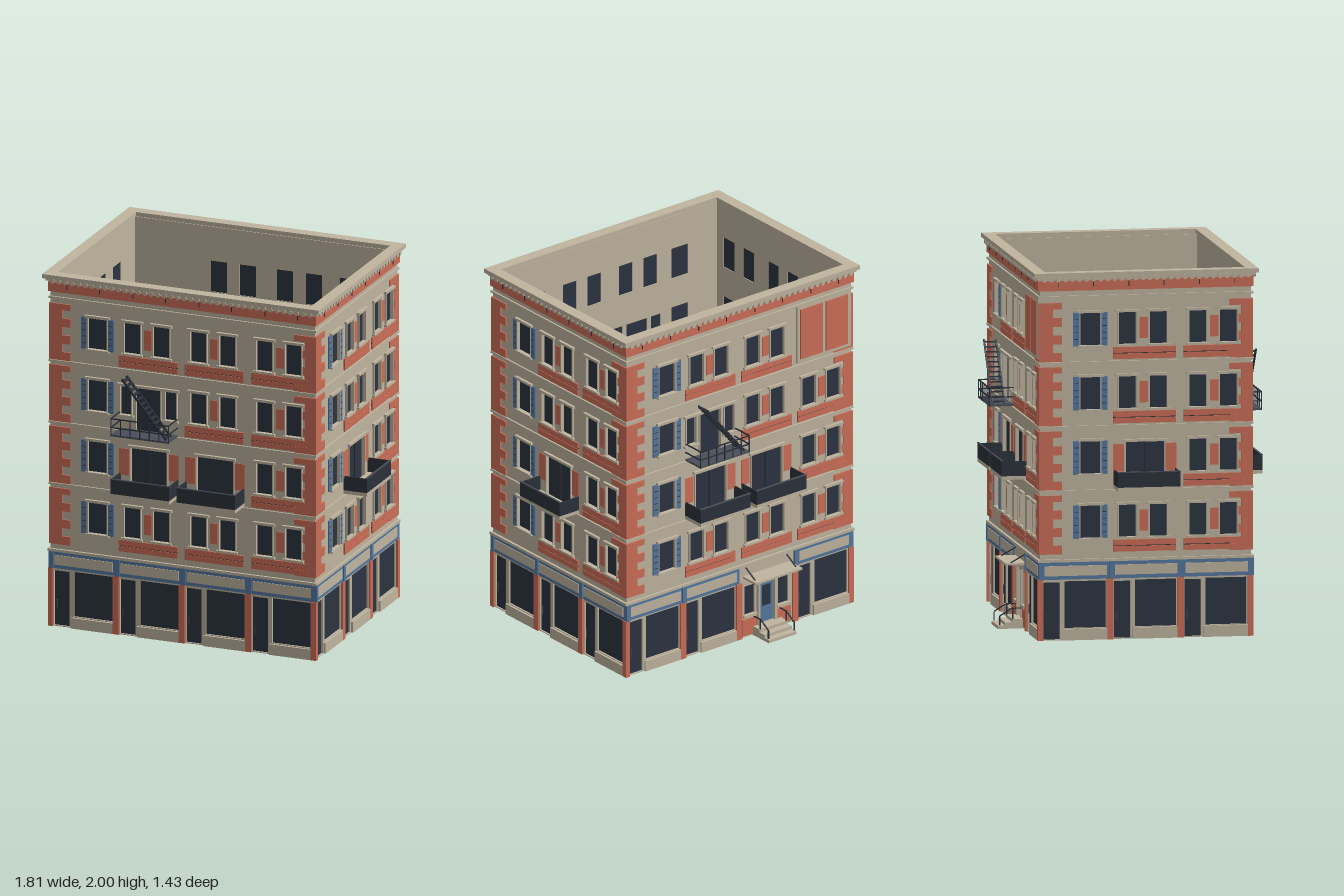
import * as THREE from 'three';
import { mergeGeometries } from 'three/addons/utils/BufferGeometryUtils.js';

const mat = (name, color) => Object.assign(new THREE.MeshStandardMaterial({ color }), { name });
const stone = mat('stone', 0xbfb49f), brick = mat('brick', 0xcb6e57), glass = mat('dark glass', 0x2c3441);
const blue = mat('blue paint', 0x54789f), iron = mat('dark iron', 0x2b303a), grate = mat('grey grating', 0x4a4e59);

const BAY = 0.385, W = 0.77, D = 0.5775, FLOOR0 = 0.46, STOREY = 0.349;

// Collects pieces of a named part and merges them into one mesh each
class Parts {
  constructor(name) { this.group = new THREE.Group(); this.group.name = name; this.map = new Map(); }
  add(name, material, geo) {
    if (!this.map.has(name)) this.map.set(name, { material, list: [] });
    this.map.get(name).list.push(geo);
  }
  box(name, material, u0, u1, v0, v1, w0, w1) {
    const g = new THREE.BoxGeometry(u1 - u0, v1 - v0, w1 - w0);
    this.add(name, material, g.translate((u0 + u1) / 2, (v0 + v1) / 2, (w0 + w1) / 2));
  }
  bar(name, material, a, b, r = 0.003) {
    const p = new THREE.Vector3(...a), d = new THREE.Vector3(...b).sub(p), len = d.length();
    const g = new THREE.BoxGeometry(2 * r, len, 2 * r).translate(0, len / 2, 0);
    g.applyQuaternion(new THREE.Quaternion().setFromUnitVectors(new THREE.Vector3(0, 1, 0), d.normalize()));
    this.add(name, material, g.translate(p.x, p.y, p.z));
  }
  finish() {
    for (const [name, { material, list }] of this.map) {
      const m = new THREE.Mesh(mergeGeometries(list), material);
      m.name = name;
      this.group.add(m);
    }
    return this.group;
  }
}

const rectPath = (P, x0, x1, y0, y1) =>
  new P([[x0, y0], [x1, y0], [x1, y1], [x0, y1]].map(p => new THREE.Vector2(...p)));

// Rectangular band running all round the building
function ring(name, material, out, inset, y0, y1) {
  const s = rectPath(THREE.Shape, -W - out, W + out, -D - out, D + out);
  s.holes.push(rectPath(THREE.Path, -W + inset, W - inset, -D + inset, D - inset));
  const g = new THREE.ExtrudeGeometry(s, { depth: y1 - y0, bevelEnabled: false }).rotateX(-Math.PI / 2);
  const m = new THREE.Mesh(g.translate(0, y0, 0), material);
  m.name = name;
  return m;
}

// One facade in local space: u to the right, v up, w outward
function facade(name, bays, { escape = false, balconies = [], entrance = -1 }) {
  const P = new Parts(name), half = bays * BAY / 2;
  const wall = rectPath(THREE.Shape, -half, half, 0, 1.97);

  const opening = (u0, u1, v0, v1) => {
    wall.holes.push(rectPath(THREE.Path, u0, u1, v0, v1));
    P.box('windowGlass', glass, u0 - 0.002, u1 + 0.002, v0 - 0.002, v1 + 0.002, -0.016, -0.010);
  };
  const window = (u0, u1, v0, v1, sill = true) => {
    opening(u0, u1, v0, v1);
    P.box('windowLintel', stone, u0 - 0.016, u1 + 0.016, v1, v1 + 0.014, 0, 0.016);
    for (const [a, b] of [[u0 - 0.006, u0], [u1, u1 + 0.006]]) P.box('windowFrame', stone, a, b, v0, v1, -0.01, 0.010);
    if (sill) P.box('windowSill', stone, u0 - 0.014, u1 + 0.014, v0 - 0.012, v0, 0, 0.016);
  };

  for (let i = 0; i < bays; i++) {
    const b = -half + i * BAY;

    // Ground floor shop front or entrance
    if (i === entrance) {
      entry(P, b, opening);
    } else {
      opening(b + 0.02, b + 0.11, 0.005, 0.315);
      P.bar('doorHandle', grate, [b + 0.035, 0.1, -0.004], [b + 0.035, 0.15, -0.004], 0.002);
      opening(b + 0.135, b + 0.36, 0.065, 0.32);
      P.box('shopSill', stone, b + 0.122, b + 0.366, 0, 0.06, 0, 0.012);
      P.box('signBand', blue, b, b + BAY, 0.33, 0.425, 0, 0.006);
      P.box('signPanel', stone, b + 0.024, b + BAY - 0.02, 0.35, 0.405, 0.006, 0.010);
      P.box('signPost', blue, b - 0.008, b + 0.018, 0.33, 0.425, 0, 0.014);
    }

    // Upper storeys
    for (let f = 0; f < 4; f++) {
      const y = FLOOR0 + f * STOREY;
      if (i === 0) {
        window(b + 0.22, b + 0.33, y + 0.093, y + 0.27);
        for (const u of [0.18, 0.333]) {
          P.box('shutter', blue, b + u, b + u + 0.036, y + 0.09, y + 0.272, 0, 0.008);
          for (let k = 1; k < 5; k++)
            P.box('shutterSlat', iron, b + u + 0.007, b + u + 0.029, y + 0.09 + k * 0.036, y + 0.093 + k * 0.036, 0.008, 0.010);
        }
      } else if (f === 1 && balconies.includes(i)) {
        window(b + 0.085, b + 0.295, y + 0.02, y + 0.262, false);
        for (const u of [0.015, 0.302]) P.box('brickPanel', brick, b + u, b + u + 0.058, y + 0.1, y + 0.25, 0, 0.004);
        P.box('windowMullion', iron, b + 0.187, b + 0.193, y + 0.02, y + 0.26, -0.012, -0.004);
        balcony(P, b, 0.82);
      } else if (f === 2 && escape && i === 1) {
        window(b + 0.115, b + 0.255, y + 0.012, y + 0.258, false);
        window(b + 0.022, b + 0.088, y + 0.095, y + 0.258);
        window(b + 0.284, b + 0.35, y + 0.095, y + 0.258);
        fireEscape(P, b, 1.165);
      } else if (f === 3 && i === entrance + 1 && entrance > 0) {
        // Framed brick hoarding
        P.box('hoardingFrame', stone, b + 0.01, b + BAY - 0.005, y + 0.02, 1.86, 0, 0.010);
        for (const u of [0.03, 0.205]) P.box('hoardingPanel', brick, b + u, b + u + 0.15, y + 0.04, 1.84, 0.010, 0.016);
      } else {
        window(b + 0.045, b + 0.14, y + 0.095, y + 0.27);
        window(b + 0.214, b + 0.308, y + 0.095, y + 0.27);
        P.box('brickPanel', brick, b + 0.16, b + 0.217 - 0.012, y + 0.125, y + 0.24, 0, 0.004);
        P.box('brickApron', brick, b + 0.015, b + 0.357, y + 0.015, y + 0.045, 0, 0.010);
        P.box('brickApron', brick, b + 0.015, b + 0.357, y + 0.049, y + 0.08, 0, 0.010);
        P.box('apronGroove', iron, b + 0.015, b + 0.357, y + 0.045, y + 0.049, 0, 0.006);
      }
    }
    // Frieze dividers
    for (const u of [0.1, 0.29]) P.box('friezeDivider', iron, b + u - 0.002, b + u + 0.002, 1.92, 1.957, 0.01, 0.016);
  }

  // Brick piers between the shop fronts
  for (let i = 0; i <= bays; i++) {
    const u = -half + i * BAY;
    P.box('brickPier', brick, Math.max(u - 0.02, -half - 0.012), Math.min(u + 0.016, half + 0.012), 0, 0.33, 0, 0.012);
  }

  // Corner quoins of alternating length
  for (let f = 0; f < 4; f++) for (let j = 0; j < 7; j++) {
    const y = FLOOR0 + f * STOREY + 0.008 + j * 0.0476, clear = j < 1 || j > 5;
    const top = y + 0.0476 - (j === 6 ? 0.014 : 0);
    P.box('quoin', brick, -half - 0.008, -half + (j % 2 ? 0.07 : 0.118), y, top, 0, 0.008);
    P.box('quoin', brick, half - (clear ? 0.118 : j % 2 ? 0.055 : 0.07), half + 0.008, y, top, 0, 0.008);
  }

  // Scalloped dentils below the cornice
  const n = bays * 10;
  for (let k = 0; k < n; k++) {
    const g = new THREE.CylinderGeometry(0.013, 0.013, 0.02, 8).rotateX(Math.PI / 2);
    P.add('dentil', stone, g.translate(-half + (k + 0.5) * BAY / 10, 1.962, 0.018));
  }

  P.add('wall', stone, new THREE.ExtrudeGeometry(wall, { depth: 0.02, bevelEnabled: false }).translate(0, 0, -0.02));
  return P.finish();
}

// Balcony: stone slab with solid dark parapet
function balcony(P, b, y) {
  const u0 = b + 0.018, u1 = b + 0.36, w = 0.135;
  P.box('balconySlab', stone, u0, u1, y, y + 0.02, 0, w);
  P.box('balconyFront', iron, u0, u1, y + 0.02, y + 0.1, w - 0.006, w);
  for (const u of [u0, u1 - 0.006]) P.box('balconySide', iron, u, u + 0.006, y + 0.02, y + 0.1, 0, w - 0.006);
  P.box('balconyRail', grate, u0 - 0.002, u1 + 0.002, y + 0.1, y + 0.105, w - 0.008, w + 0.002);
}

// Fire escape: grated platform, railing and steep stair
function fireEscape(P, b, y) {
  const u0 = b + 0.02, u1 = b + 0.355, w = 0.13;
  P.box('escapePlatform', grate, u0, u1, y, y + 0.01, 0, w);
  for (const h of [0.05, 0.1]) {
    P.bar('escapeRailing', iron, [u0, y + h, w], [u1, y + h, w]);
    for (const u of [u0, u1]) P.bar('escapeRailing', iron, [u, y + h, 0], [u, y + h, w]);
  }
  for (let k = 0; k <= 6; k++) {
    const u = u0 + (u1 - u0) * k / 6;
    P.bar('escapeRailing', iron, [u, y, w], [u, y + 0.1, w], 0.0025);
  }
  for (const s of [0.045, 0.11]) P.bar('escapeStringer', iron, [b + 0.335, y + 0.01, s], [b + 0.075, y + 0.325, s], 0.005);
  for (let k = 0; k < 13; k++) {
    const t = (k + 0.5) / 13, u = b + 0.335 - 0.26 * t, v = y + 0.01 + 0.315 * t;
    P.box('escapeTread', iron, u - 0.01, u + 0.01, v - 0.003, v + 0.003, 0.045, 0.11);
  }
}

// Entrance: blue door, side windows, steps, handrails and canopy
function entry(P, b, opening) {
  const c = b + 0.19;
  opening(c - 0.05, c + 0.05, 0.055, 0.3);
  P.box('entranceDoor', blue, c - 0.045, c + 0.045, 0.055, 0.29, -0.010, -0.004);
  P.box('entranceDoorPane', glass, c - 0.028, c + 0.028, 0.15, 0.27, -0.004, -0.001);
  for (const s of [-1, 1]) {
    const m = c + s * 0.115;
    opening(m - 0.035, m + 0.035, 0.13, 0.3);
    P.box('entranceSill', stone, m - 0.045, m + 0.045, 0.115, 0.13, 0, 0.014);
    P.box('entranceBrick', brick, m - 0.05, m + 0.05, 0.01, 0.105, 0, 0.006);
    P.box('entranceJamb', stone, c + s * 0.058 - 0.008, c + s * 0.058 + 0.008, 0.05, 0.315, 0, 0.014);
    const r = c + s * 0.088;
    P.bar('handrail', iron, [r, 0.11, 0], [r, 0.11, 0.065]);
    P.bar('handrail', iron, [r, 0.11, 0.065], [r, 0.07, 0.13]);
    P.bar('handrail', iron, [r, 0.02, 0.13], [r, 0.07, 0.13]);
    P.bar('handrail', iron, [r, 0.05, 0.06], [r, 0.11, 0.06]);
    P.bar('canopyStay', iron, [c + s * 0.14, 0.41, 0], [c + s * 0.14, 0.365, 0.08]);
  }
  [[0.018, 0.142], [0.035, 0.103], [0.052, 0.063]].forEach(([h, w]) =>
    P.box('entranceStep', stone, c - 0.095, c + 0.095, 0, h, 0, w));
  P.box('canopy', stone, c - 0.16, c + 0.16, 0.352, 0.364, 0, 0.112);
}

export function createModel() {
  const model = new THREE.Group();
  model.name = 'apartmentBuilding';
  const place = (g, x, z, turn) => {
    g.position.set(x, 0, z);
    g.rotation.y = turn;
    model.add(g);
  };
  place(facade('frontFacade', 4, { escape: true, balconies: [1, 2] }), 0, D, 0);
  place(facade('backFacade', 4, { escape: true, balconies: [1, 2], entrance: 2 }), 0, -D, Math.PI);
  place(facade('leftFacade', 3, { balconies: [1] }), W, 0, Math.PI / 2);
  place(facade('rightFacade', 3, { balconies: [1] }), -W, 0, -Math.PI / 2);

  // Horizontal bands and cornice
  model.add(ring('shopLedge', stone, 0.014, 0.01, 0.425, 0.44));
  for (let f = 1; f < 4; f++) model.add(ring('stringCourse', stone, 0.01, 0.01, FLOOR0 + f * STOREY - 0.006, FLOOR0 + f * STOREY + 0.006));
  model.add(ring('upperCourse', stone, 0.01, 0.01, 1.86, 1.872));
  model.add(ring('brickFrieze', brick, 0.012, 0.01, 1.9, 1.955));
  model.add(ring('corniceBase', stone, 0.022, 0.015, 1.962, 1.977));
  model.add(ring('cornice', stone, 0.036, 0.03, 1.977, 2.0));
  return model;
}
